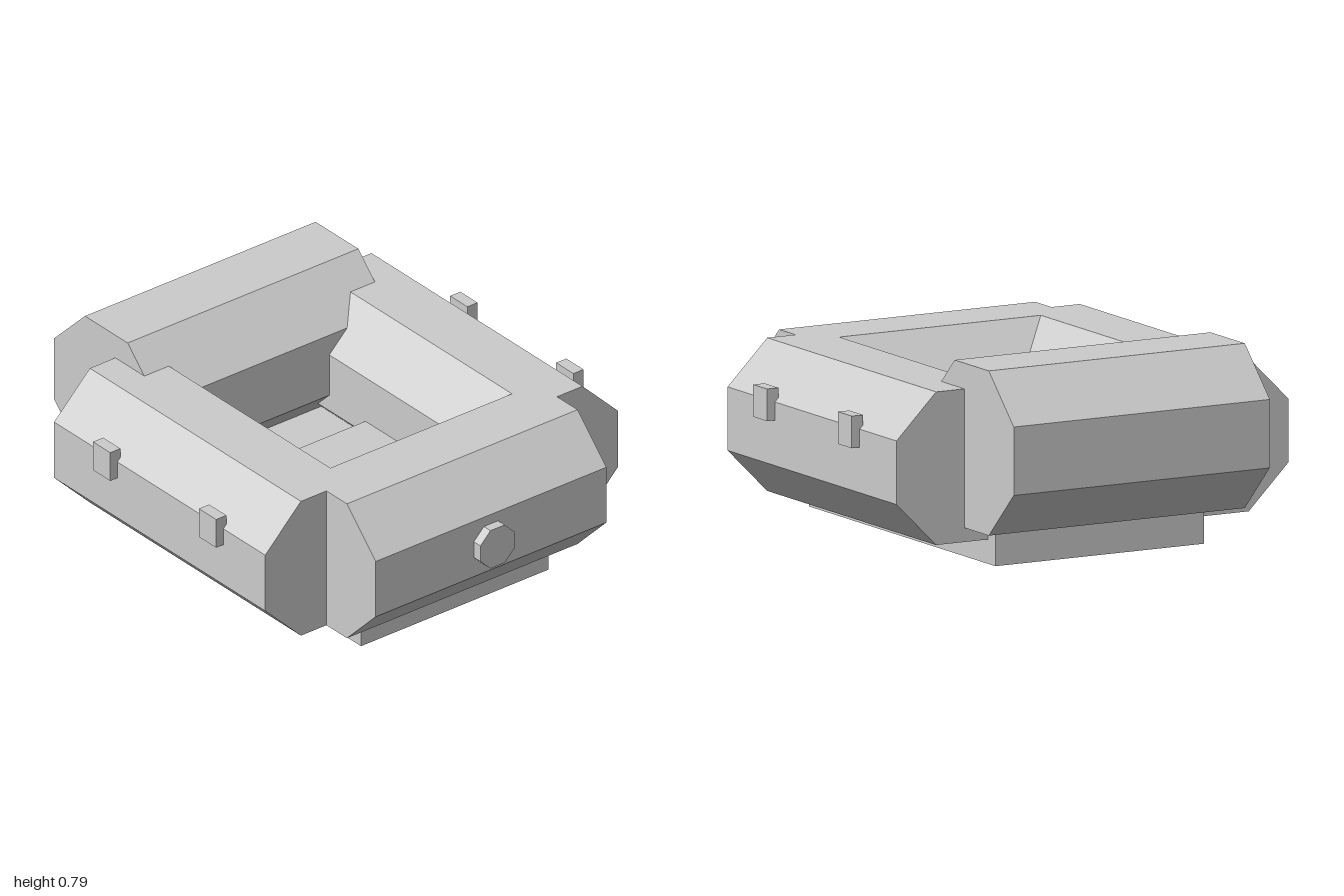
import * as THREE from 'three';

export function createModel() {
  const raft = new THREE.Group();
  raft.name = 'raft';
  const grey = new THREE.MeshStandardMaterial({ color: 0xcccccc, flatShading: true });
  grey.name = 'light grey';

  const add = (name, geometry, x, y, z) => {
    const mesh = new THREE.Mesh(geometry, grey);
    mesh.name = name;
    mesh.position.set(x, y, z);
    raft.add(mesh);
    return mesh;
  };

  // Eight-sided tube centred on the origin, running along z
  const tube = (width, height, chamferX, chamferY, length) => {
    const w = width / 2, h = height / 2, a = w - chamferX, b = h - chamferY;
    const outline = [[w, -b], [w, b], [a, h], [-a, h], [-w, b], [-w, -b], [-a, -h], [a, -h]];
    const shape = new THREE.Shape(outline.map(([x, y]) => new THREE.Vector2(x, y)));
    return new THREE.ExtrudeGeometry(shape, { depth: length, bevelEnabled: false })
      .translate(0, 0, -length / 2);
  };

  // Right-hand and larger left-hand end tubes
  add('endTube', tube(0.6, 0.595, 0.175, 0.175, 1.13), 0.66, 0.3925, 0);
  add('raisedEndTube', tube(0.64, 0.64, 0.19, 0.187, 1.13), -0.68, 0.47, 0);

  // Long tubes at front and back, each with two handles
  for (const side of [1, -1]) {
    const name = side > 0 ? 'front' : 'back';
    add(name + 'Tube', tube(0.595, 0.595, 0.175, 0.174, 1.285).rotateY(Math.PI / 2),
      0.0175, 0.3925, side * 0.5675);
    for (const x of [-0.2925, 0.3525]) {
      add(name + 'Handle', new THREE.BoxGeometry(0.105, 0.125, 0.05), x, 0.5075, side * 0.875);
    }
  }

  // Floor and the bench across it
  add('floor', new THREE.BoxGeometry(1.42, 0.19, 0.92), 0.03, 0.095, 0);
  add('bench', new THREE.BoxGeometry(0.205, 0.15, 0.64), -0.0375, 0.248, 0);

  // Air valve on the end
  add('valve', new THREE.CylinderGeometry(0.091, 0.091, 0.05, 8).rotateY(Math.PI / 8).rotateZ(-Math.PI / 2),
    0.975, 0.39, 0);

  return raft;
}
